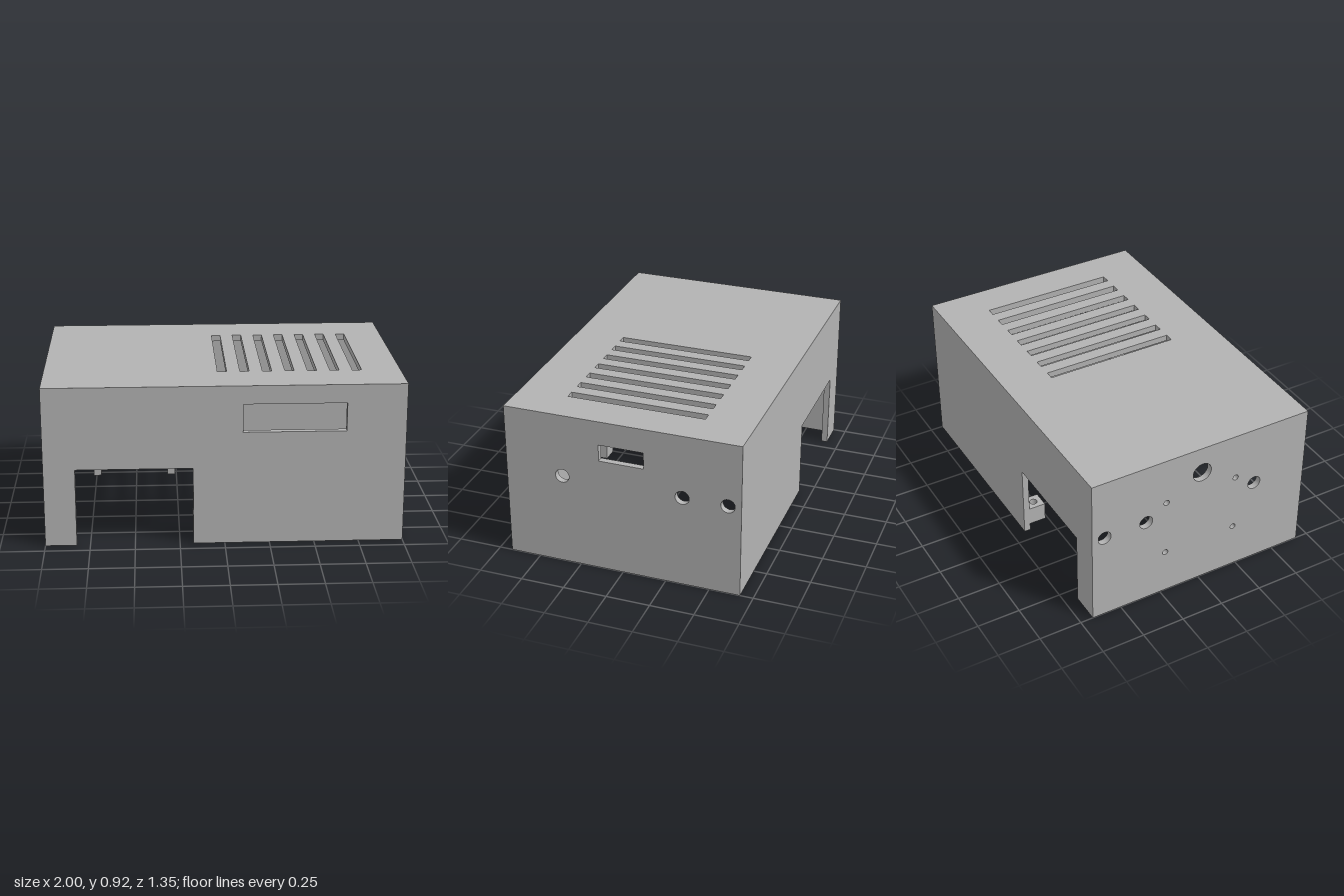
import * as THREE from 'three';

const W = 1, H = 0.915, D = 0.675, T = 0.037; // half width, height, half depth, wall thickness

const plastic = new THREE.MeshStandardMaterial({ color: 0xb2b2b2 });
plastic.name = 'grey plastic';

function polygon(points, Kind = THREE.Shape) {
  return new Kind(points.map(([x, y]) => new THREE.Vector2(x, y)));
}
function rect(x0, x1, y0, y1, Kind) {
  return polygon([[x0, y0], [x1, y0], [x1, y1], [x0, y1]], Kind);
}
function round(x, y, r) {
  const path = new THREE.Path();
  path.absarc(x, y, r, 0, Math.PI * 2, true);
  return path;
}
function slab(outline, holes, depth) {
  outline.holes.push(...holes);
  return new THREE.ExtrudeGeometry(outline, { depth, bevelEnabled: false, curveSegments: 24 });
}

export function createModel() {
  const model = new THREE.Group();
  model.name = 'enclosure';
  const add = (name, geometry, parent = model) => {
    const mesh = new THREE.Mesh(geometry, plastic);
    mesh.name = name;
    parent.add(mesh);
    return mesh;
  };

  // front and back walls, each with a tall cutout open at the bottom
  const wallOutline = () => polygon([
    [-W, 0], [-0.825, 0], [-0.825, 0.445], [-0.175, 0.445], [-0.175, 0], [W, 0], [W, H], [-W, H],
  ]);
  const displayWindow = rect(0.1, 0.67, 0.65, 0.81, THREE.Path);
  add('frontWall', slab(wallOutline(), [displayWindow], T).translate(0, 0, D - T));
  add('backWall', slab(wallOutline(), [], T).translate(0, 0, -D));

  // side walls with screwdriver access holes
  const inner = D - T;
  const access = () => [-0.6, -0.345, 0.345, 0.6].map((u) => round(u, 0.545, 0.04));
  const port = rect(-0.128, 0.128, 0.678, 0.775, THREE.Path);
  add('leftWall', slab(rect(-inner, inner, 0, H), [...access(), port], T)
    .rotateY(Math.PI / 2).translate(W - T, 0, 0));

  const mountHoles = [round(0, 0.752, 0.057)];
  for (const u of [-0.22, 0.22]) for (const y of [0.28, 0.63]) mountHoles.push(round(u, y, 0.017));
  add('rightWall', slab(rect(-inner, inner, 0, H), [...access(), ...mountHoles], T)
    .rotateY(Math.PI / 2).translate(-W, 0, 0));

  // top panel with ventilation slots
  const slots = [];
  for (let i = 0; i < 7; i++) {
    const x = -0.003 + i * 0.1263;
    slots.push(rect(x - 0.026, x + 0.026, -0.393, 0.397, THREE.Path));
  }
  add('topPanel', slab(rect(-W + T, W - T, -inner, inner), slots, T)
    .rotateX(-Math.PI / 2).translate(0, H - T, 0));

  // inside brackets above each cutout: two drilled plates joined by a block
  for (const side of [1, -1]) {
    const bracket = new THREE.Group();
    bracket.name = side > 0 ? 'frontBracket' : 'backBracket';
    model.add(bracket);
    const near = 0.27, depth = inner - near, midZ = side * (inner + near) / 2;
    for (const x of [-0.72, -0.315]) {
      const u0 = Math.min(-side * near, -side * inner);
      const holes = [0.345, 0.6].map((z) => round(-side * z, 0.545, 0.02));
      add('bracketPlate', slab(rect(u0, u0 + depth, 0.4, H - T), holes, 0.04)
        .rotateY(Math.PI / 2).translate(x, 0, 0), bracket);
    }
    const top = H - T, low = 0.61;
    add('bracketBlock', new THREE.BoxGeometry(0.365, top - low, depth)
      .translate(-0.4975, (top + low) / 2, midZ), bracket);
    add('bracketStop', new THREE.BoxGeometry(0.1, 0.05, 0.1)
      .translate(-0.4975, low - 0.025, midZ), bracket);
  }

  // screw posts for the base plate
  for (const x of [-0.125, 0.913]) {
    for (const z of [-0.588, 0.588]) {
      add('screwPost', slab(rect(-0.05, 0.05, -0.05, 0.05), [round(0, 0, 0.022)], 0.11)
        .rotateX(-Math.PI / 2).translate(x, 0.045, z));
    }
  }
  return model;
}
